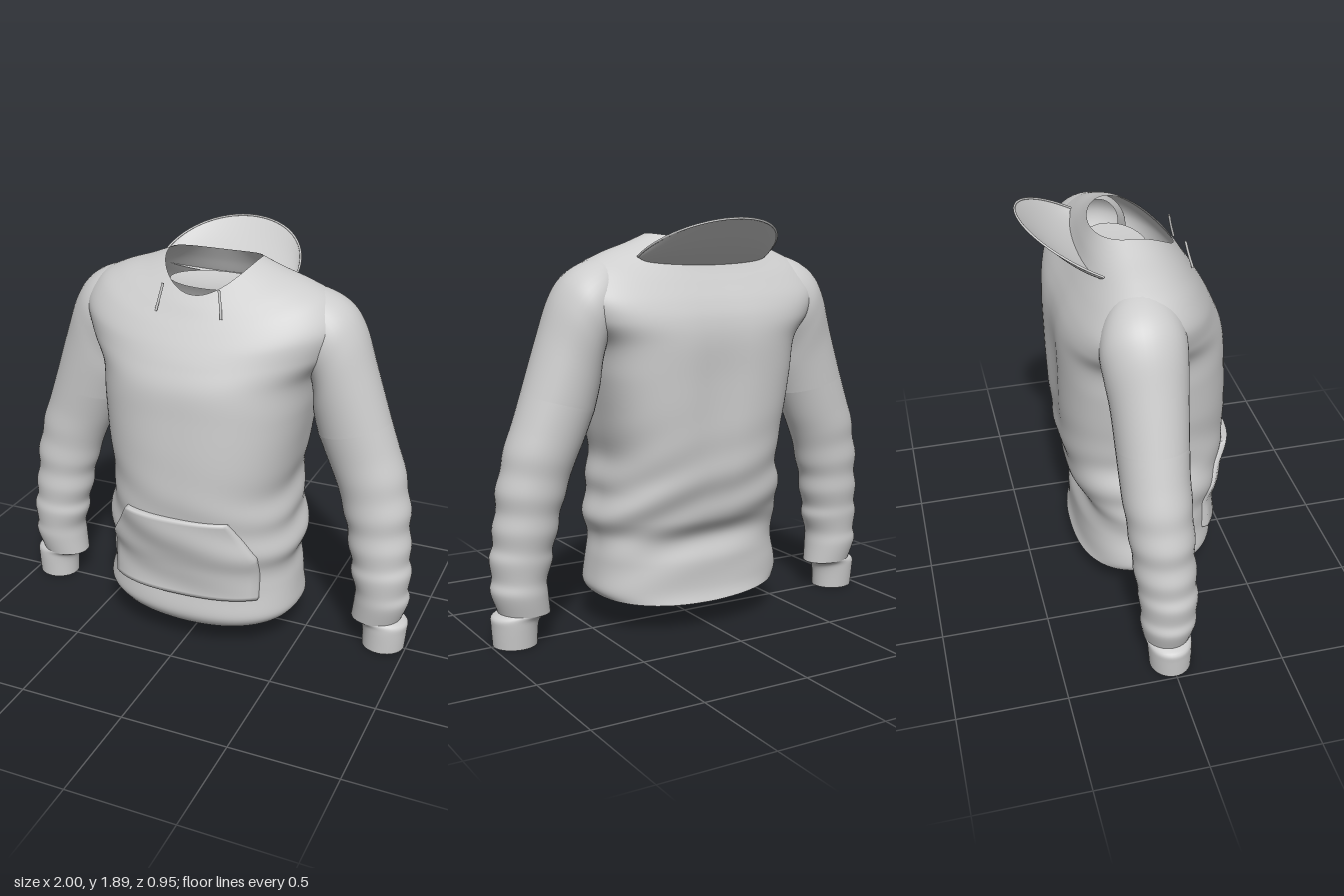
import * as THREE from 'three';

const fabric = new THREE.MeshStandardMaterial({ color: 0xcccccc, side: THREE.DoubleSide });
fabric.name = 'grey fabric';
const { lerp, clamp, smoothstep } = THREE.MathUtils;

// Smooth sampling of a table of rows, t in 0..1
function sample(rows, t) {
  const f = clamp(t, 0, 1) * (rows.length - 1);
  const i = Math.min(Math.floor(f), rows.length - 2), u = f - i;
  const row = k => rows[clamp(k, 0, rows.length - 1)];
  return rows[0].map((_, k) => {
    const a = row(i - 1)[k], b = row(i)[k], c = row(i + 1)[k], d = row(i + 2)[k];
    return b + 0.5 * u * (c - a + u * (2 * a - 5 * b + 4 * c - d + u * (3 * (b - c) + d - a)));
  });
}

// Surface from a function (u, v) -> [x, y, z]; closed joins u = 1 to u = 0
function surface(name, fn, nu, nv, closed) {
  const pos = [], idx = [], cols = closed ? nu : nu + 1;
  for (let j = 0; j <= nv; j++)
    for (let i = 0; i < cols; i++) pos.push(...fn(i / nu, j / nv));
  for (let j = 0; j < nv; j++)
    for (let i = 0; i < nu; i++) {
      const a = j * cols + i, b = j * cols + (i + 1) % cols;
      idx.push(a, a + cols, b, b, a + cols, b + cols);
    }
  const g = new THREE.BufferGeometry();
  g.setAttribute('position', new THREE.Float32BufferAttribute(pos, 3));
  g.setIndex(idx);
  g.computeVertexNormals();
  const mesh = new THREE.Mesh(g, fabric);
  mesh.name = name;
  return mesh;
}

// Torso rings: half width, side y, side z, front y, front z, back y, back z
const torsoRows = [
  [0.465, 0.155, 0.04, 0.13, 0.375, 0.13, -0.28],
  [0.485, 0.20, 0.04, 0.19, 0.405, 0.19, -0.265],
  [0.465, 0.32, 0.04, 0.32, 0.395, 0.32, -0.26],
  [0.460, 0.43, 0.04, 0.43, 0.405, 0.43, -0.24],
  [0.470, 0.53, 0.04, 0.53, 0.425, 0.53, -0.285],
  [0.450, 0.66, 0.04, 0.66, 0.445, 0.66, -0.318],
  [0.430, 0.80, 0.04, 0.80, 0.457, 0.80, -0.337],
  [0.460, 1.00, 0.03, 1.00, 0.452, 1.00, -0.35],
  [0.485, 1.18, 0.00, 1.17, 0.44, 1.18, -0.353],
  [0.505, 1.33, -0.02, 1.31, 0.427, 1.34, -0.353],
  [0.590, 1.45, -0.04, 1.41, 0.39, 1.44, -0.337],
  [0.625, 1.57, -0.04, 1.48, 0.355, 1.52, -0.305],
  [0.560, 1.675, -0.04, 1.545, 0.315, 1.60, -0.26],
  [0.450, 1.735, -0.04, 1.60, 0.278, 1.67, -0.22],
  [0.320, 1.780, -0.04, 1.65, 0.245, 1.74, -0.19],
  [0.220, 1.820, -0.04, 1.69, 0.213, 1.80, -0.16],
];
function torsoPoint(u, v) {
  const a = u * Math.PI * 2, c = Math.cos(a), s = Math.sin(a);
  const [w, yS, zS, yF, zF, yB, zB] = sample(torsoRows, v);
  // Boxy body, rounder towards the hem, shoulders and neck
  const shoulder = smoothstep(v, 0.55, 0.72), neck = smoothstep(v, 0.72, 1);
  const p = s > 0 ? lerp(0.84, 1, shoulder) : lerp(lerp(0.82, 0.64, smoothstep(v, 0, 0.5)), 1, neck);
  const m = Math.abs(s) ** p;
  let x = w * Math.sign(c) * Math.abs(c) ** p;
  let y = lerp(yS, s > 0 ? yF : yB, m * m);
  let z = zS + ((s > 0 ? zF : zB) - zS) * m;
  // Soft slanting folds around the waist and sides
  const band = Math.exp(-(((y - 0.58) / 0.25) ** 2)) * (s > 0 ? 1 - s * 0.7 : 1 + s * 0.4);
  const fold = 0.011 * band * Math.sin(30 * y + 5 * c + 2 * s);
  x += c * fold;
  z += s * fold;
  // Hollow along the spine
  if (s < 0) z += 0.02 * Math.exp(-((x / 0.12) ** 2) - ((y - 1.15) / 0.3) ** 2);
  // Hem hangs slightly higher on the right
  y -= 0.04 * Math.min(x, 0) * (1 - smoothstep(v, 0, 0.2));
  return [x, y, z];
}

// Sleeve rings: inner x, y, outer x, y, centre z, half depth
const upperRows = [
  [0.43, 1.44, 0.38, 1.73, -0.045, 0.11],
  [0.455, 1.38, 0.51, 1.708, -0.05, 0.17],
  [0.475, 1.32, 0.625, 1.65, -0.055, 0.187],
  [0.487, 1.24, 0.70, 1.55, -0.053, 0.18],
  [0.49, 1.15, 0.765, 1.37, -0.047, 0.168],
  [0.515, 1.04, 0.845, 1.13, -0.047, 0.158],
];
const lowerRows = [
  [0.515, 1.04, 0.845, 1.13, -0.047, 0.158],
  [0.565, 0.92, 0.89, 1.00, -0.048, 0.152],
  [0.605, 0.83, 0.930, 0.89, -0.045, 0.150],
  [0.635, 0.75, 0.945, 0.80, -0.04, 0.143],
  [0.655, 0.67, 0.970, 0.71, -0.035, 0.145],
  [0.680, 0.60, 0.967, 0.62, -0.03, 0.136],
  [0.687, 0.52, 0.985, 0.54, -0.024, 0.140],
  [0.713, 0.44, 0.982, 0.46, -0.018, 0.131],
  [0.712, 0.38, 0.998, 0.40, -0.012, 0.134],
  [0.738, 0.30, 0.987, 0.31, -0.01, 0.125],
  [0.735, 0.23, 0.997, 0.25, -0.012, 0.125],
  [0.725, 0.14, 0.965, 0.155, -0.012, 0.108],
];
const cuffRows = [
  [0.725, 0.14, 0.965, 0.155, -0.012, 0.108],
  [0.765, 0.125, 0.998, 0.135, -0.01, 0.102],
  [0.783, 0.09, 0.997, 0.09, -0.008, 0.10],
  [0.787, 0, 0.990, 0, -0.005, 0.095],
];
const sleevePoint = (rows, side) => (u, v) => {
  const a = u * Math.PI * 2, k = (1 - Math.cos(a)) / 2;
  const [xi, yi, xo, yo, zc, hz] = sample(rows, v);
  return [side * (xi + (xo - xi) * k), yi + (yo - yi) * k, zc + side * hz * Math.sin(a)];
};

// Front of the torso at a given x and y
function frontZ(x, y) {
  let lo = 0, hi = 0.7;
  for (let i = 0; i < 20; i++) {
    const m = (lo + hi) / 2;
    if (torsoPoint(0.25, m)[1] < y) lo = m; else hi = m;
  }
  let a = 0, b = 0.5;
  for (let i = 0; i < 20; i++) {
    const m = (a + b) / 2;
    if (torsoPoint(m, lo)[0] > x) a = m; else b = m;
  }
  return torsoPoint(a, lo)[2];
}

// Pouch pocket with slanted hand openings and a turned-in edge
function pocketPoint(u, v) {
  const n = 28, i = Math.round(u * n), j = Math.round(v * n);
  const edge = i === 0 || j === 0 || i === n || j === n;
  const pu = clamp((i - 1) / (n - 2), 0, 1);
  const pv = 1 - clamp((j - 1) / (n - 2), 0, 1);
  const y = 0.295 + 0.415 * pv;
  const half = y < 0.52 ? 0.363 : 0.363 - (y - 0.52) * 0.6;
  const x = (pu * 2 - 1) * half;
  const puff = 0.024 + 0.006 * Math.sin(13 * y + 6 * x);
  return [x, y, frontZ(x, y) + (edge ? 0 : puff)];
}

// Hood lying open behind the neck
function hoodPoint(u, v) {
  const a = u * Math.PI, s = Math.sin(a);
  const sag = 0.02 * Math.sin(Math.PI * v) * s;
  return [
    0.338 * Math.cos(a),
    1.72 + s * (-0.05 + 0.215 * v) - sag,
    -0.17 - s * (0.03 + 0.275 * v) - sag * 0.3,
  ];
}

// Shallow oval lining inside the neck opening
function liningPoint(u, v) {
  const a = u * Math.PI * 2;
  return [0.222 * v * Math.cos(a), 1.67 + 0.015 * v * v, -0.045 + 0.145 * v * Math.sin(-a)];
}

function tube(name, points, radius, segments) {
  const curve = new THREE.CatmullRomCurve3(points.map(p => new THREE.Vector3(...p)));
  const mesh = new THREE.Mesh(new THREE.TubeGeometry(curve, segments, radius, 8), fabric);
  mesh.name = name;
  return mesh;
}

export function createModel() {
  const model = new THREE.Group();
  model.name = 'hoodedSweatshirt';
  model.add(surface('torso', torsoPoint, 96, 120, true));
  model.add(surface('pouchPocket', pocketPoint, 28, 28, false));
  model.add(surface('hood', hoodPoint, 48, 16, false));
  model.add(surface('neckLining', liningPoint, 40, 8, true));

  // Rolled rim of the hood
  const rim = Array.from({ length: 25 }, (_, i) => hoodPoint(i / 24, 1));
  model.add(tube('hoodRim', rim, 0.005, 64));

  for (const [label, side] of [['left', 1], ['right', -1]]) {
    const sleeve = new THREE.Group();
    sleeve.name = label + 'Sleeve';
    sleeve.add(surface('upperSleeve', sleevePoint(upperRows, side), 40, 30, true));
    sleeve.add(surface('lowerSleeve', sleevePoint(lowerRows, side), 40, 66, true));
    sleeve.add(surface('cuff', sleevePoint(cuffRows, side), 40, 12, true));
    model.add(sleeve);
    model.add(tube(label + 'Drawstring',
      [[side * 0.132, 1.735, 0.238], [side * 0.143, 1.68, 0.25], [side * 0.155, 1.615, 0.268]], 0.006, 10));
  }
  return model;
}
